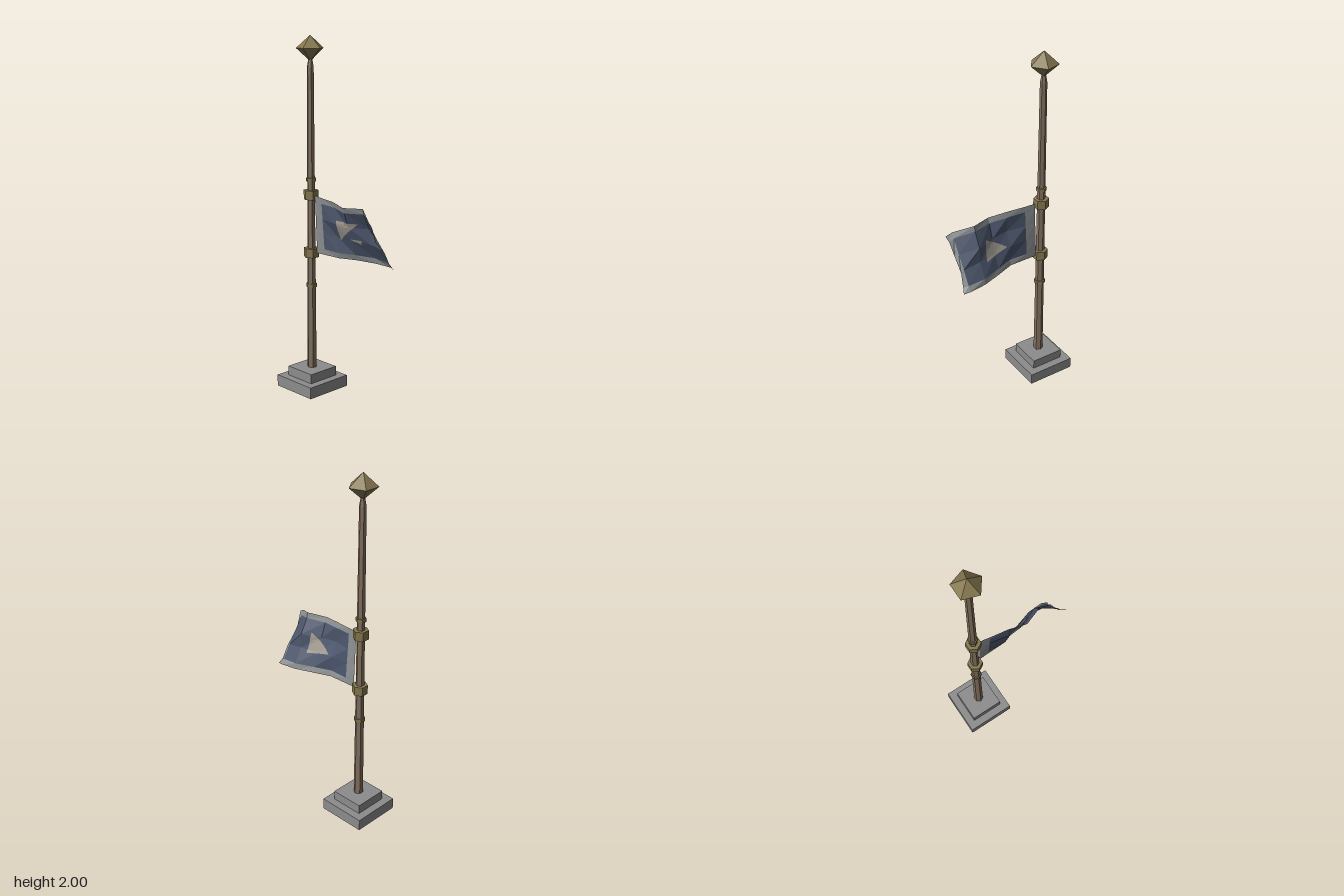
import * as THREE from 'three';

const POLE_X = -0.207;

function material(color, side = THREE.FrontSide) {
  return new THREE.MeshStandardMaterial({ color, flatShading: true, side });
}

// Flag lattice: columns run from the pole outward, rows from top to bottom
const COL_X = [-0.17, -0.11, 0, 0.1, 0.21, 0.31, 0.345];
const TOP_Y = [1.13, 1.125, 1.12, 1.105, 1.11, 1.07, 1.05];
const LOW_Y = [0.8, 0.8, 0.8, 0.8, 0.795, 0.79, 0.78];
const TOP_Z = [0.005, 0.014, 0.03, 0.055, 0.015, 0.08, 0.09];
const LOW_Z = [-0.01, -0.012, -0.015, -0.055, -0.09, -0.1, -0.088];
const ROW = [0, 0.1, 0.37, 0.63, 0.9, 1];
const END_X = [0, -0.01, -0.02, -0.018, -0.01, 0]; // hollow fly edge
const FOLD = [0, 0.004, -0.012, 0.012, -0.004, 0]; // sideways ripple by row

function node(i, j) {
  const t = ROW[j];
  const ripple = FOLD[j] * Math.cos(i * 1.6) * Math.min(1, i / 2);
  return new THREE.Vector3(
    COL_X[i] + (i === 6 ? END_X[j] : 0),
    THREE.MathUtils.lerp(TOP_Y[i], LOW_Y[i], t),
    THREE.MathUtils.lerp(TOP_Z[i], LOW_Z[i], t) + ripple
  );
}

// Point on the folded cloth at lattice position (u, v)
function onCloth(u, v) {
  const i = Math.min(5, Math.floor(u)), j = Math.min(4, Math.floor(v));
  const a = u - i, b = v - j;
  const p = node(i, j), q = node(i + 1, j + 1);
  const r = a > b ? node(i + 1, j) : node(i, j + 1);
  const hi = Math.max(a, b), lo = Math.min(a, b);
  return p.multiplyScalar(1 - hi).addScaledVector(r, hi - lo).addScaledVector(q, lo);
}

function meshFromPoints(name, points, color) {
  const geometry = new THREE.BufferGeometry().setFromPoints(points);
  geometry.computeVertexNormals();
  const mesh = new THREE.Mesh(geometry, material(color, THREE.DoubleSide));
  mesh.name = name;
  return mesh;
}

// Triangular patch that follows the cloth, lifted by dz
function patch(name, A, B, C, dz, color) {
  const N = 8, points = [];
  const at = (i, j) => {
    const s = i / N, t = j / N;
    const p = onCloth(A[0] + (B[0] - A[0]) * s + (C[0] - A[0]) * t,
      A[1] + (B[1] - A[1]) * s + (C[1] - A[1]) * t);
    p.z += dz;
    return p;
  };
  for (let i = 0; i < N; i++) {
    for (let j = 0; j < N - i; j++) {
      points.push(at(i, j), at(i + 1, j), at(i, j + 1));
      if (i + j < N - 1) points.push(at(i + 1, j), at(i + 1, j + 1), at(i, j + 1));
    }
  }
  return meshFromPoints(name, points, color);
}

function createFlag() {
  const flag = new THREE.Group();
  flag.name = 'flag';
  const field = [], border = [];
  for (let i = 0; i < 6; i++) {
    for (let j = 0; j < 5; j++) {
      const edge = i === 0 || i === 5 || j === 0 || j === 4;
      const a = node(i, j), b = node(i, j + 1), c = node(i + 1, j + 1), d = node(i + 1, j);
      (edge ? border : field).push(a, b, c, a, c, d);
    }
  }
  flag.add(meshFromPoints('flagField', field, 0x4c566c));
  flag.add(meshFromPoints('flagBorder', border, 0x8c9092));
  // Pale patches, one on each face
  const pale = 0xa39c92;
  flag.add(patch('frontPatch', [2.2, 1.75], [2.2, 3.15], [3.55, 1.7], 0.004, pale));
  flag.add(patch('frontPatchTip', [2.95, 2.85], [3.55, 3.15], [3.6, 2.85], 0.004, pale));
  flag.add(patch('backPatch', [3.5, 1.75], [2.2, 2.9], [3.6, 3.2], -0.004, pale));
  return flag;
}

export function createModel() {
  const model = new THREE.Group();
  model.name = 'flagpole';
  const stone = material(0x8c8c8c), wood = material(0x83715f), brass = material(0x85774f);

  const add = (name, geometry, mat, y) => {
    const mesh = new THREE.Mesh(geometry, mat);
    mesh.name = name;
    mesh.position.set(POLE_X, y, 0);
    model.add(mesh);
    return mesh;
  };

  // Stepped base
  add('baseSlab', new THREE.BoxGeometry(0.284, 0.066, 0.284), stone, 0.033);
  add('baseStep', new THREE.BoxGeometry(0.194, 0.055, 0.194), stone, 0.0925);

  // Six-sided tapering pole with a narrow neck
  add('pole', new THREE.CylinderGeometry(0.019, 0.027, 1.71, 6), wood, 0.975);
  add('poleNeck', new THREE.CylinderGeometry(0.01, 0.019, 0.05, 6), wood, 1.855);

  // Brass bands: height, radius, thickness
  const bands = [[0.61, 0.032, 0.02], [0.8, 0.043, 0.052], [1.13, 0.043, 0.052], [1.215, 0.029, 0.02]];
  bands.forEach(([y, r, h], k) => {
    add('band' + (k + 1), new THREE.CylinderGeometry(r, r, h, 6), brass, y);
  });

  // Five-sided double-pointed finial, one corner toward the flag
  const profile = [[0, -0.07], [0.079, 0], [0, 0.07]].map(([x, y]) => new THREE.Vector2(x, y));
  add('finial', new THREE.LatheGeometry(profile, 5, Math.PI / 2), brass, 1.93);

  model.add(createFlag());
  return model;
}
